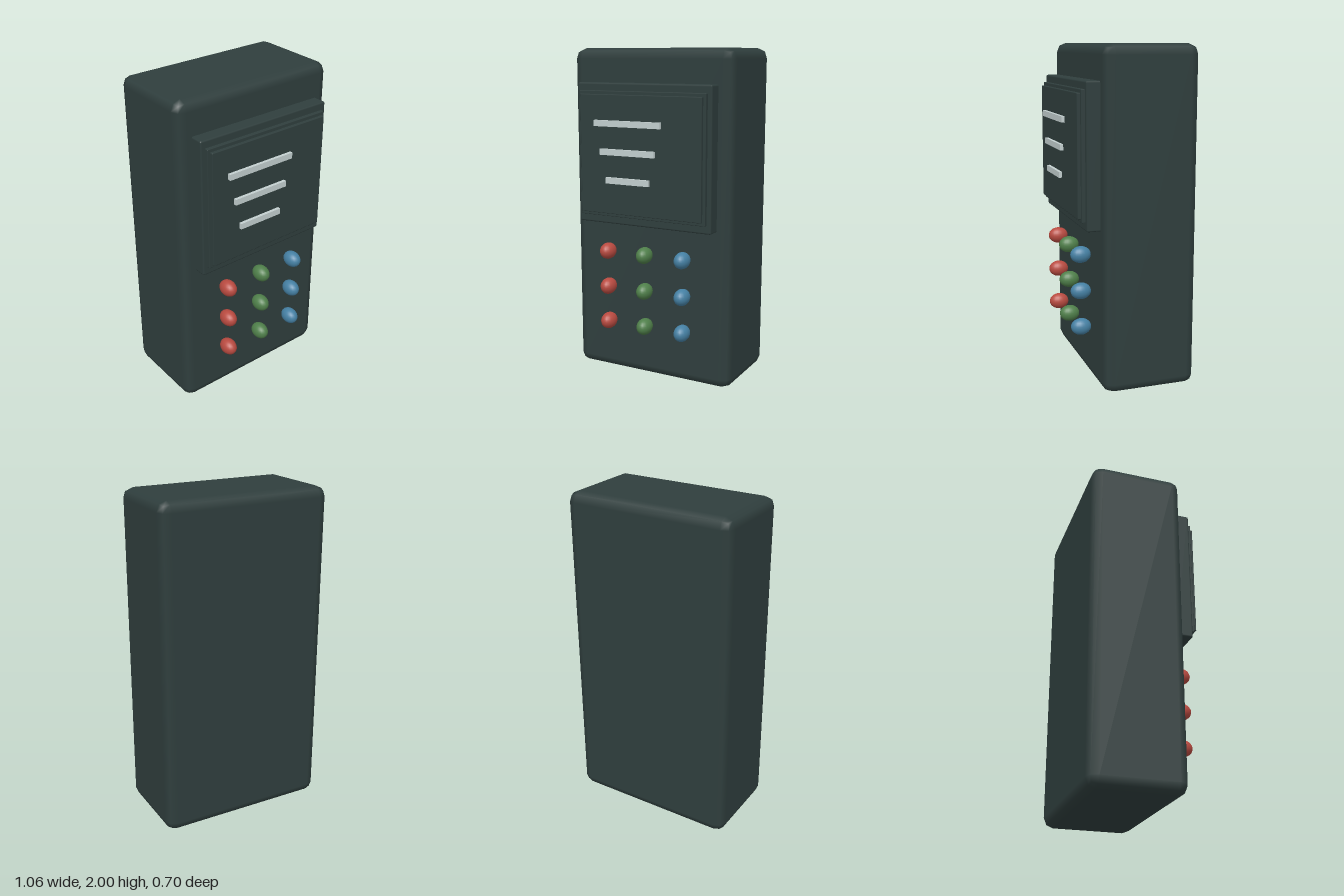
import * as THREE from 'three';
import { RoundedBoxGeometry } from 'three/addons/geometries/RoundedBoxGeometry.js';

const material = (name, color) => {
  const m = new THREE.MeshStandardMaterial({ color });
  m.name = name;
  return m;
};

export function createModel() {
  const casing = material('dark casing', 0x2f3e3d);
  const pale = material('pale grey', 0xc3cfcf);
  const buttonColors = [
    material('red', 0xb84a40),
    material('green', 0x4f7f4a),
    material('blue', 0x4580a3),
  ];

  const group = new THREE.Group();
  group.name = 'handheldDevice';

  const add = (name, geometry, mat, x, y, z) => {
    const mesh = new THREE.Mesh(geometry, mat);
    mesh.name = name;
    mesh.position.set(x, y, z);
    group.add(mesh);
    return mesh;
  };

  // Rounded block given by its limits on each axis
  const block = (name, [x0, x1], [y0, y1], [z0, z1], radius, mat) => {
    const size = [x1 - x0, y1 - y0, z1 - z0];
    const geometry = radius
      ? new RoundedBoxGeometry(...size, 1, radius)
      : new THREE.BoxGeometry(...size);
    add(name, geometry, mat, (x0 + x1) / 2, (y0 + y1) / 2, (z0 + z1) / 2);
  };

  // Case and stepped screen
  block('body', [-0.528, 0.528], [0, 2], [-0.353, 0.21], 0.06, casing);
  block('screenFrame', [-0.443, 0.443], [0.96, 1.8], [0.18, 0.29], 0.01, casing);
  block('screenRim', [-0.417, 0.417], [1.01, 1.755], [0.27, 0.312], 0.004, casing);
  block('screen', [-0.4, 0.4], [1.03, 1.735], [0.29, 0.331], 0.004, casing);

  // Display lines, shorter towards the bottom
  [[-0.295, 0.148, 1.568], [-0.255, 0.108, 1.401], [-0.217, 0.07, 1.233]].forEach(([x0, x1, y], i) =>
    block(`displayLine${i + 1}`, [x0, x1], [y - 0.018, y + 0.018], [0.32, 0.35], 0, pale));

  // Three by three keypad of oval buttons
  const button = new THREE.SphereGeometry(1, 20, 14);
  [0.785, 0.562, 0.34].forEach((y, row) => {
    buttonColors.forEach((mat, col) => {
      add(`button${row + 1}${'ABC'[col]}`, button, mat, (col - 1) * 0.254, y, 0.274)
        .scale.set(0.046, 0.05, 0.062);
    });
  });

  return group;
}
